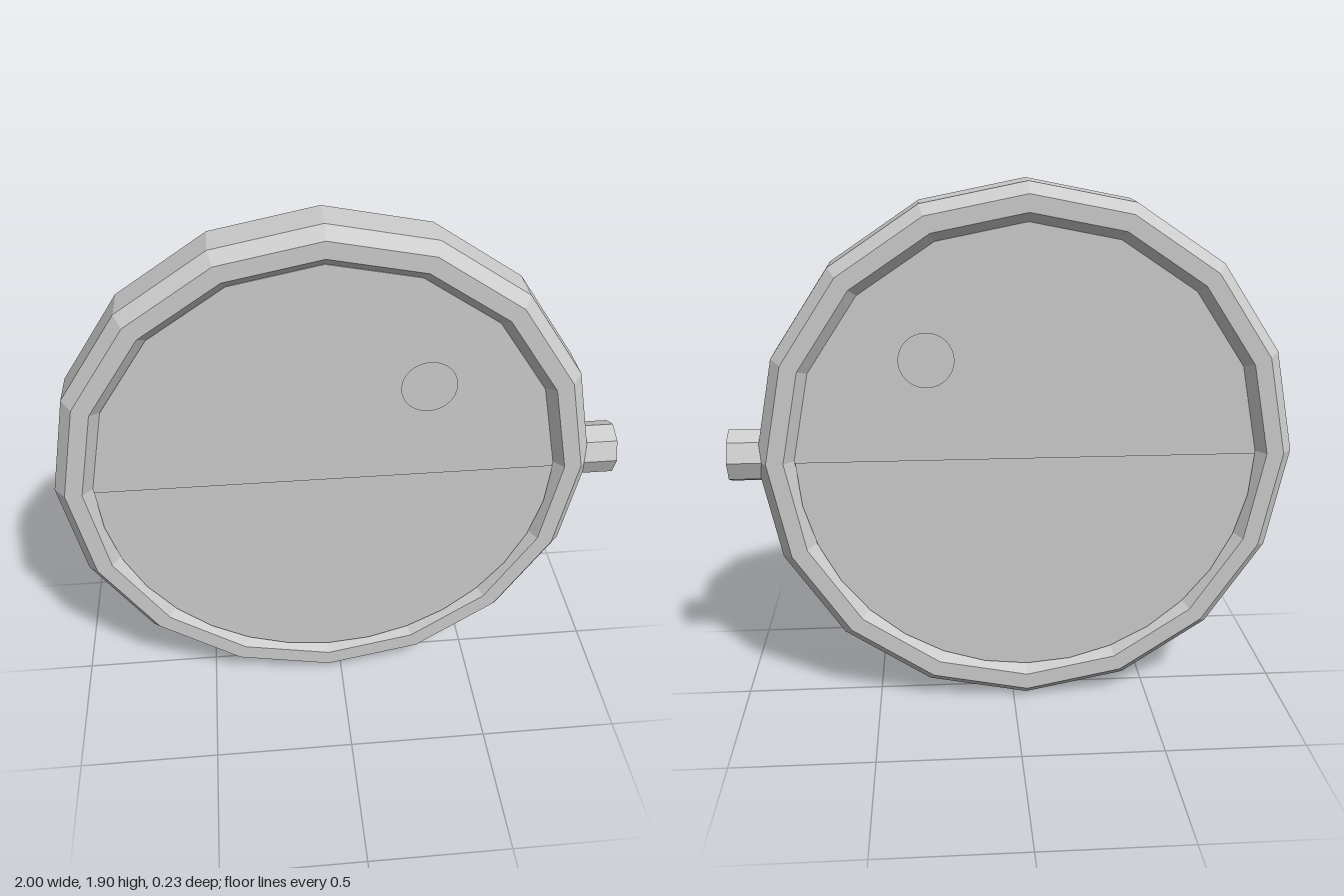
import * as THREE from 'three';

export function createModel() {
  const model = new THREE.Group();
  const grey = new THREE.MeshStandardMaterial({ color: 0xcccccc, flatShading: true });
  grey.name = 'plain grey';

  // Everything but the knob shares the axis of the ring
  const body = new THREE.Group();
  body.name = 'body';
  body.position.set(-0.05, 0.95, 0);
  model.add(body);

  const add = (name, geometry, x = 0, y = 0, z = 0) => {
    const mesh = new THREE.Mesh(geometry, grey);
    mesh.name = name;
    mesh.position.set(x, y, z);
    body.add(mesh);
    return mesh;
  };

  // Sixteen-sided ring with chamfered edges
  const profile = [
    [0.95, -0.07], [0.95, 0.07], [0.912, 0.115], [0.852, 0.115],
    [0.812, 0.07], [0.812, -0.07], [0.852, -0.115], [0.912, -0.115], [0.95, -0.07],
  ].map(([r, z]) => new THREE.Vector2(r, z));
  add('ring', new THREE.LatheGeometry(profile, 16).rotateX(Math.PI / 2));

  // Flat face filling the ring
  add('disc', new THREE.CylinderGeometry(0.818, 0.818, 0.16, 16).rotateX(Math.PI / 2));

  // Raised lower half and small round spot, on both sides
  for (const side of [1, -1]) {
    const label = side > 0 ? 'front' : 'back';
    const turn = side > 0 ? 0 : Math.PI;
    add(label + 'HalfDisc',
      new THREE.CircleGeometry(0.812, 16, Math.PI, Math.PI).rotateY(turn), 0, 0, side * 0.1);
    add(label + 'Spot',
      new THREE.CircleGeometry(0.097, 32).rotateY(turn), 0.35, 0.355, side * 0.092);
  }

  // Octagonal knob on the left side
  add('knob', new THREE.CylinderGeometry(0.095, 0.095, 0.17, 8).rotateZ(Math.PI / 2), 0.965, 0, 0);

  return model;
}
